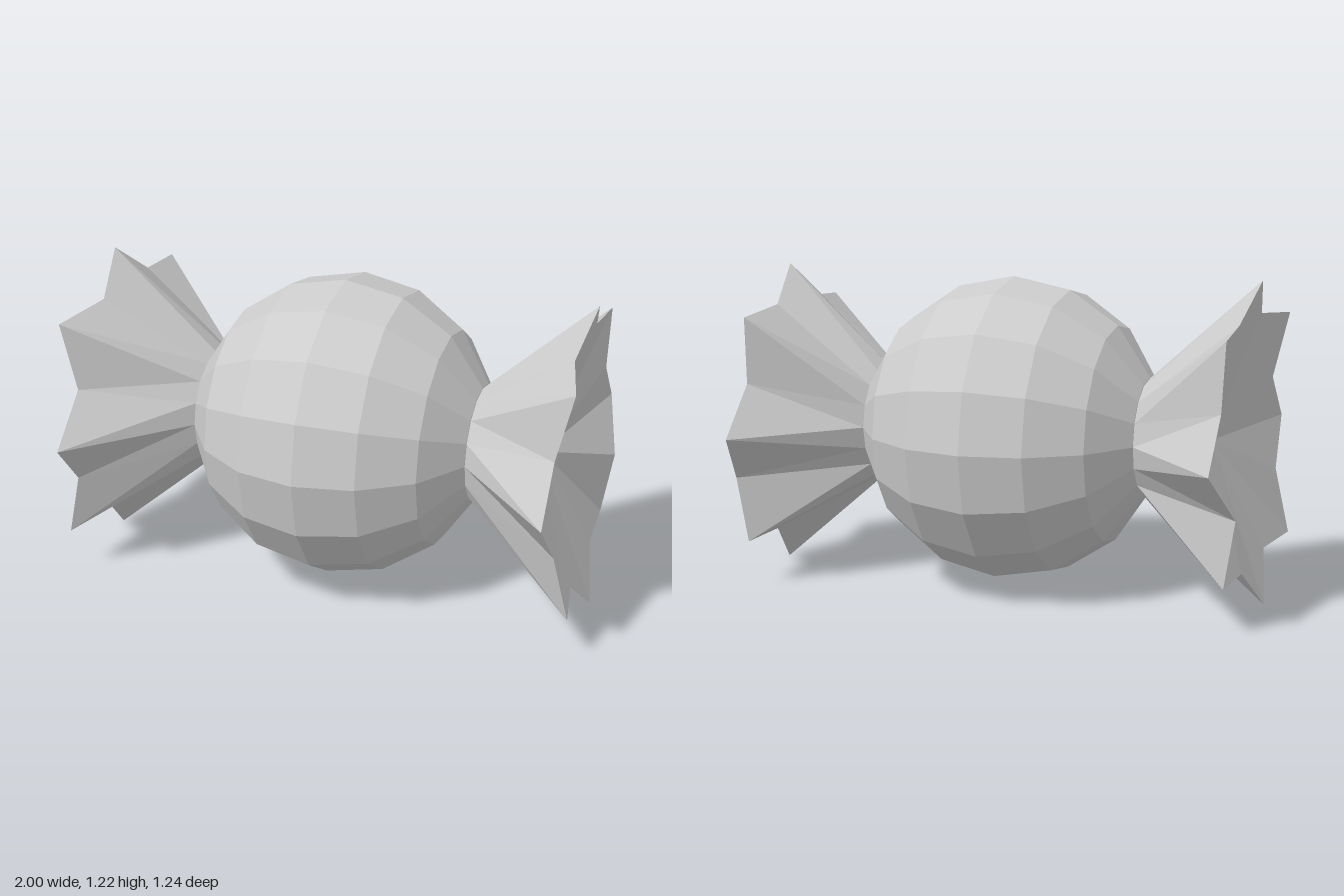
import * as THREE from 'three';

const CENTRE_Y = 0.62;
const BODY_RADIUS = 0.587;
const SIDES = 16;

// Rim of a twisted end, clockwise from the top toward +z: [radius, distance along x]
const RIM = [
  [0.605, 0.96], [0.5, 0.92], [0.622, 0.98], [0.475, 0.92],
  [0.62, 0.925], [0.49, 0.94], [0.62, 1.0], [0.48, 0.955],
  [0.615, 1.0], [0.485, 0.95], [0.62, 0.94], [0.485, 0.98],
  [0.62, 0.92], [0.485, 0.92], [0.62, 0.93], [0.5, 0.92],
];

// Pleated fan: a wall flaring from the body to the rim, closed by a sunken cap
function wrapperEnd(side) {
  const neckX = 0.543, neckR = 0.222, hollowX = 0.78;
  const point = (r, x, i) => {
    const a = (i / SIDES) * Math.PI * 2;
    return [side * x, r * Math.cos(a), r * Math.sin(a)];
  };
  const pos = [];
  const tri = (a, b, c) => pos.push(...a, ...(side > 0 ? b : c), ...(side > 0 ? c : b));
  const hollow = [side * hollowX, 0, 0];
  for (let i = 0; i < SIDES; i++) {
    const j = (i + 1) % SIDES;
    const n0 = point(neckR, neckX, i), n1 = point(neckR, neckX, j);
    const r0 = point(...RIM[i], i), r1 = point(...RIM[j], j);
    // split each pleat along the same diagonal
    tri(n0, n1, r1);
    tri(n0, r1, r0);
    tri(hollow, r0, r1);
  }
  const geo = new THREE.BufferGeometry();
  geo.setAttribute('position', new THREE.Float32BufferAttribute(pos, 3));
  geo.computeVertexNormals();
  return geo;
}

export function createModel() {
  const group = new THREE.Group();
  group.name = 'wrappedCandy';
  const add = (name, geometry, side = THREE.FrontSide) => {
    const material = new THREE.MeshStandardMaterial({ color: 0xcccccc, flatShading: true, side });
    const mesh = new THREE.Mesh(geometry, material);
    mesh.name = name;
    mesh.position.y = CENTRE_Y;
    group.add(mesh);
  };

  // Round faceted sweet, poles along x
  add('candyBody', new THREE.SphereGeometry(BODY_RADIUS, SIDES, 8).rotateZ(Math.PI / 2));

  // Mirrored wrapper ends
  add('leftWrapperEnd', wrapperEnd(1), THREE.DoubleSide);
  add('rightWrapperEnd', wrapperEnd(-1), THREE.DoubleSide);
  return group;
}
